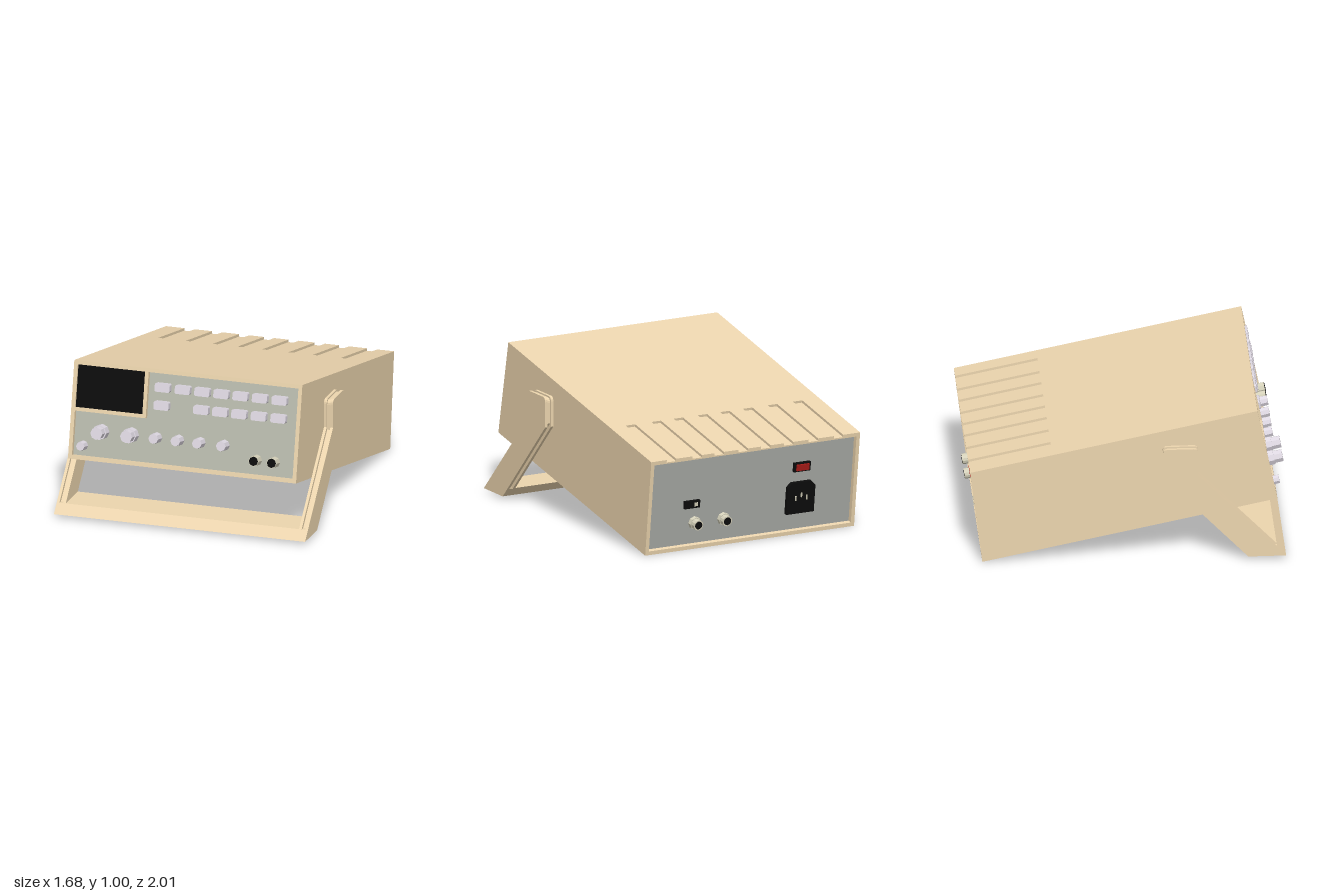
import * as THREE from 'three';

const mat = (color) => new THREE.MeshStandardMaterial({ color, flatShading: true });
const M = {
  shell: mat(0xecd5ae), panel: mat(0xb9bbad), rear: mat(0xa9aba6), black: mat(0x0c0c0c),
  knob: mat(0xdfd9e3), metal: mat(0xd6d2bb), red: mat(0xa81c18),
};

// Case dimensions: half width, height, wall, depth at the bottom, rear slant
const HW = 0.76, H = 0.63, WALL = 0.025, DEPTH = 1.908, SLANT = 0.05;
const SLOT_START = -1.325;

function add(parent, name, geo, material, x = 0, y = 0, z = 0) {
  const m = new THREE.Mesh(geo, material);
  m.name = name;
  m.position.set(x, y, z);
  parent.add(m);
  return m;
}

const box = (w, h, d) => new THREE.BoxGeometry(w, h, d);
const poly = (pts) => new THREE.Shape(pts.map(([x, y]) => new THREE.Vector2(x, y)));

function roundedRect(w, h, r) {
  const s = new THREE.Shape();
  const q = Math.PI / 2;
  [[1, 1], [-1, 1], [-1, -1], [1, -1]].forEach(([sx, sy], i) =>
    s.absarc(sx * (w / 2 - r), sy * (h / 2 - r), r, i * q, (i + 1) * q, false));
  return s;
}

// Octagonal or round part whose axis points along z, starting at z = 0
function turned(r0, r1, len, sides = 8) {
  return new THREE.CylinderGeometry(r1, r0, len, sides).rotateX(Math.PI / 2).translate(0, 0, len / 2);
}

// Rectangular tube section of the case, with optional vent slots along the top
function caseSection(z0, z1, slots) {
  const top = [[HW, H]];
  for (const x of [...slots].reverse()) {
    top.push([x + 0.034, H], [x + 0.034, H - 0.016], [x - 0.034, H - 0.016], [x - 0.034, H]);
  }
  const s = poly([[-HW, 0], [HW, 0], ...top, [-HW, H]]);
  const ix = HW - WALL, it = H - WALL;
  s.holes.push(poly([[-ix, WALL], [-ix, it], [ix, it], [ix, WALL]]));
  const g = new THREE.ExtrudeGeometry(s, { depth: z1 - z0, bevelEnabled: false });
  return g.translate(0, 0, z0);
}

function buildCase(body) {
  const slots = [-0.603, -0.42, -0.24, -0.074, 0.09, 0.265, 0.426, 0.613];
  add(body, 'caseFront', caseSection(SLOT_START, 0, []), M.shell);
  const rear = caseSection(-DEPTH, SLOT_START, slots);
  // Lean the rear edge
  const p = rear.attributes.position;
  for (let i = 0; i < p.count; i++) {
    if (p.getZ(i) < -1.6) p.setZ(i, -DEPTH + SLANT * p.getY(i) / H);
  }
  rear.computeVertexNormals();
  add(body, 'caseRearWithVents', rear, M.shell);
}

function buildFront(body) {
  const PZ = -0.03;
  add(body, 'frontPanel', box(2 * HW - 0.04, H - 0.04, 0.02), M.panel, 0, H / 2, PZ - 0.01);

  // Display and its surround
  add(body, 'display', box(0.45, 0.285, 0.015), M.black, -0.51, 0.465, PZ + 0.008);
  add(body, 'displaySideFrame', box(0.024, 0.3, 0.03), M.shell, -0.275, 0.459, -0.015);
  add(body, 'displayBottomFrame', box(0.472, 0.022, 0.03), M.shell, -0.499, 0.32, -0.015);

  // Two rows of push buttons
  const bGeo = new THREE.ExtrudeGeometry(roundedRect(0.1, 0.056, 0.012),
    { depth: 0.04, bevelEnabled: false, curveSegments: 3 });
  [-0.164, -0.03, 0.1, 0.227, 0.354, 0.484, 0.615].forEach((x, i) => {
    add(body, 'button', bGeo, M.knob, x, 0.515, PZ);
    if (i !== 1) add(body, 'button', bGeo, M.knob, x, 0.4, PZ);
  });

  // Large knobs with a skirt
  for (const x of [-0.556, -0.358]) {
    const k = new THREE.Group();
    k.name = 'largeKnob';
    k.position.set(x, 0.19, PZ);
    add(k, 'skirt', turned(0.05, 0.048, 0.06), M.knob);
    add(k, 'cap', turned(0.042, 0.04, 0.115), M.knob);
    body.add(k);
  }
  // Small knobs
  for (const x of [-0.19, -0.043, 0.1, 0.26]) {
    add(body, 'smallKnob', turned(0.036, 0.032, 0.075), M.knob, x, 0.19, PZ);
  }
  add(body, 'powerKnob', turned(0.032, 0.028, 0.065), M.knob, -0.673, 0.09, PZ);
  // Output connectors
  for (const x of [0.48, 0.6]) {
    add(body, 'connector', turned(0.036, 0.034, 0.065), M.metal, x, 0.117, PZ);
    add(body, 'connectorBore', turned(0.03, 0.03, 0.068), M.black, x, 0.117, PZ);
  }
}

function buildRear(body) {
  // Local frame on the leaning rear: +z points out of the back, +x towards the model's right
  const r = new THREE.Group();
  r.name = 'rearPanelAssembly';
  r.position.set(0, 0, -DEPTH + 0.03);
  r.rotation.order = 'YXZ';
  r.rotation.set(-Math.atan(SLANT / H), Math.PI, 0);
  body.add(r);
  add(r, 'rearPanel', box(2 * HW - 0.04, H - 0.035, 0.02), M.rear, 0, H / 2, -0.01);

  add(r, 'selectorSwitch', box(0.11, 0.05, 0.02), M.black, -0.43, 0.295, 0.01);
  add(r, 'selectorSlider', box(0.025, 0.025, 0.012), M.metal, -0.405, 0.295, 0.016);
  for (const x of [-0.4, -0.19]) {
    add(r, 'rearConnector', turned(0.042, 0.04, 0.025), M.metal, x, 0.165, 0);
    add(r, 'rearConnectorBarrel', turned(0.034, 0.034, 0.06, 12), M.metal, x, 0.165, 0);
    add(r, 'rearConnectorBore', turned(0.026, 0.026, 0.062, 12), M.black, x, 0.165, 0);
  }
  add(r, 'powerSwitchFrame', box(0.12, 0.06, 0.018), M.black, 0.36, 0.445, 0.009);
  add(r, 'powerSwitchRocker', box(0.09, 0.04, 0.03), M.red, 0.36, 0.445, 0.015);
  // Mains socket with three pins
  const s = poly([[-0.1, -0.105], [0.1, -0.105], [0.1, 0.075], [0.07, 0.105], [-0.07, 0.105], [-0.1, 0.075]]);
  add(r, 'mainsSocket', new THREE.ExtrudeGeometry(s, { depth: 0.025, bevelEnabled: false }), M.black, 0.36, 0.24, 0);
  [[-0.04, 0], [0, 0.02], [0.04, 0]].forEach(([x, y]) =>
    add(r, 'socketPin', box(0.008, 0.03, 0.012), M.metal, 0.36 + x, 0.24 + y, 0.026));
}

// Extrude a (z, y) outline along x, centred on x = 0
function sideExtrude(shape, width) {
  return new THREE.ExtrudeGeometry(shape, { depth: width, bevelEnabled: false, curveSegments: 4 })
    .translate(0, 0, -width / 2).rotateY(-Math.PI / 2);
}

// Arm outline, with the lower part (a) and the rounded head (b) inset
function armShape(a, b) {
  const s = new THREE.Shape();
  s.moveTo(0.76 + a, 0.02);
  s.lineTo(1 - a, 0.02);
  s.lineTo(0.445 - b, 0.6 - a + b);
  s.lineTo(0.445 - b, 0.755 - b);
  s.quadraticCurveTo(0.445 - b, 0.785 - b, 0.415 - b, 0.785 - b);
  s.lineTo(0.25 + b, 0.785 - b);
  s.quadraticCurveTo(0.22 + b, 0.785 - b, 0.22 + b, 0.755 - b);
  s.lineTo(0.22 + b, 0.59 + a - b);
  s.closePath();
  return s;
}

function buildHandle(root) {
  const h = new THREE.Group();
  h.name = 'handle';
  const plate = sideExtrude(armShape(0, 0), 0.018);
  const core = sideExtrude(armShape(0.03, 0.01), 0.026);
  const hub = new THREE.CylinderGeometry(0.06, 0.06, 0.03, 20).rotateZ(Math.PI / 2);
  for (const side of [-1, 1]) {
    add(h, 'armOuterPlate', plate, M.shell, side * 0.828, 0, 0);
    add(h, 'armCore', core, M.shell, side * 0.807, 0, 0);
    add(h, 'armInnerPlate', plate, M.shell, side * 0.786, 0, 0);
    add(h, 'pivotHub', hub, M.shell, side * 0.768, 0.66, 0.333);
  }
  // Cross bar that rests on the table
  const bar = poly([[0.76, 0.02], [1, 0.02], [0.943, 0.08], [0.703, 0.08]]);
  add(h, 'crossBar', sideExtrude(bar, 1.674), M.shell);
  root.add(h);
}

export function createModel() {
  const root = new THREE.Group();
  root.name = 'benchInstrument';
  const turn = new THREE.Group();
  turn.name = 'instrument';
  turn.rotation.y = -0.0095;
  root.add(turn);

  // Body leans back on its handle
  const body = new THREE.Group();
  body.name = 'body';
  body.position.set(0, 0.385, 0.95);
  body.rotation.x = -0.203;
  turn.add(body);

  buildCase(body);
  buildFront(body);
  buildRear(body);
  buildHandle(turn);
  return root;
}
